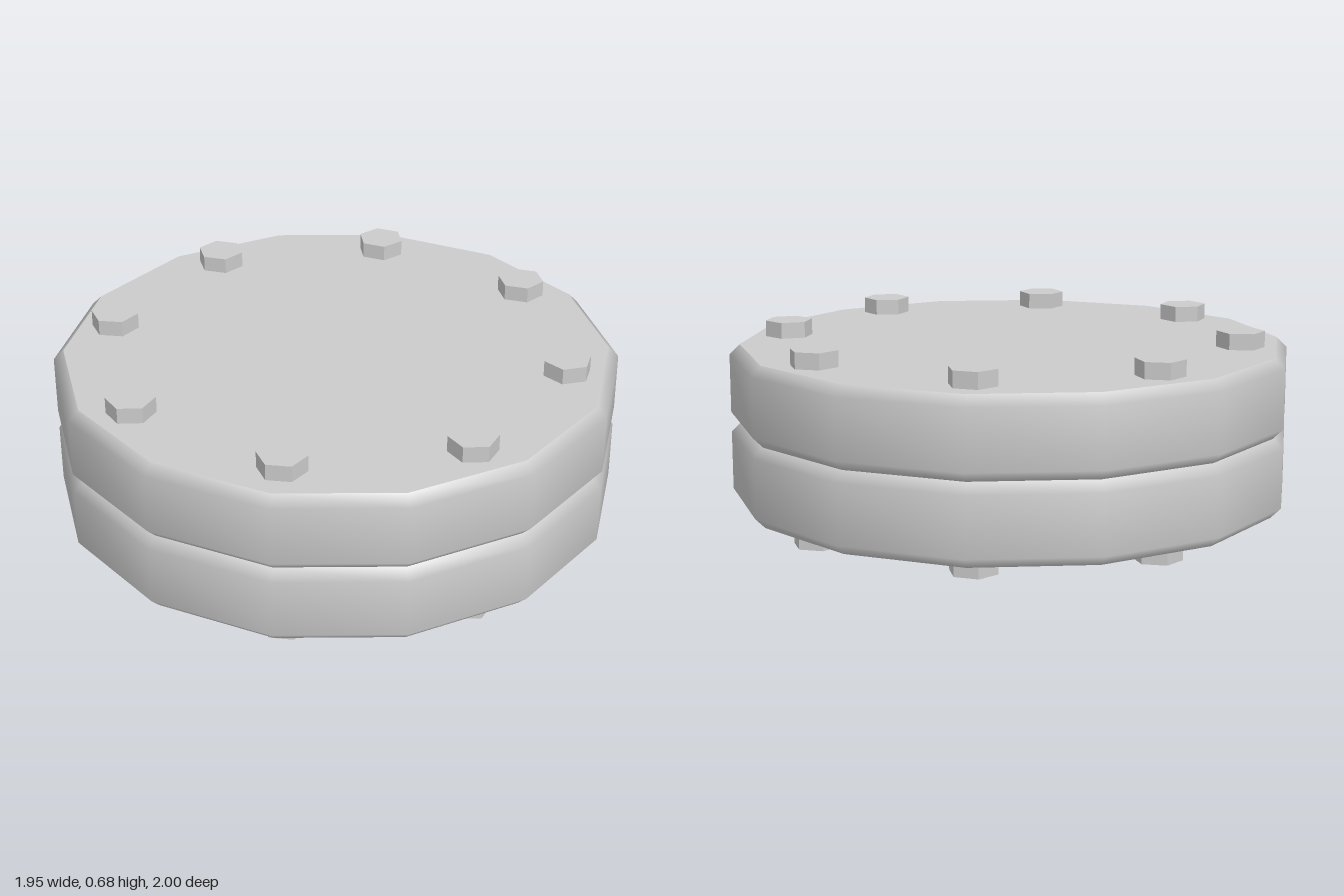
import * as THREE from 'three';

const SIDES = 14;
const material = new THREE.MeshStandardMaterial({ color: 0xcccccc });
const flatMaterial = new THREE.MeshStandardMaterial({ color: 0xcccccc, flatShading: true });

function addMesh(parent, name, geometry, mat) {
  const mesh = new THREE.Mesh(geometry, mat);
  mesh.name = name;
  parent.add(mesh);
  return mesh;
}

// A chamfered disc: smooth rim wall with flat faces on both ends
function makeFlange(name, bottom, height) {
  const flange = new THREE.Group();
  flange.name = name;
  const bevel = 0.036;
  const inner = 1 - bevel;
  const profile = [[inner, 0], [1, bevel], [1, height - bevel], [inner, height]]
    .map(([r, y]) => new THREE.Vector2(r, y));
  addMesh(flange, name + 'Rim', new THREE.LatheGeometry(profile, SIDES), material);

  const face = () => new THREE.CircleGeometry(inner, SIDES, Math.PI / 2);
  addMesh(flange, name + 'TopFace', face().rotateX(-Math.PI / 2).translate(0, height, 0), material);
  addMesh(flange, name + 'BottomFace', face().rotateX(Math.PI / 2), material);
  flange.position.y = bottom;
  return flange;
}

// Hexagonal bolts running through both flanges, each turned a little differently
function makeBolts() {
  const bolts = new THREE.Group();
  bolts.name = 'bolts';
  const turns = [34, 45, 56, 45, 55, 3, 10, 5];
  const height = 0.675;
  turns.forEach((degrees, i) => {
    const around = (i / turns.length) * Math.PI * 2;
    const start = Math.PI / 2 - THREE.MathUtils.degToRad(degrees);
    const hex = new THREE.CylinderGeometry(0.085, 0.085, height, 6, 1, false, start);
    const bolt = addMesh(bolts, 'bolt' + (i + 1), hex, flatMaterial);
    bolt.position.set(Math.cos(around) * 0.815, height / 2, Math.sin(around) * 0.815);
  });
  return bolts;
}

export function createModel() {
  const model = new THREE.Group();
  model.name = 'boltedFlange';
  model.add(makeFlange('lowerFlange', 0.058, 0.28));
  model.add(makeFlange('upperFlange', 0.338, 0.28));
  model.add(makeBolts());
  return model;
}
